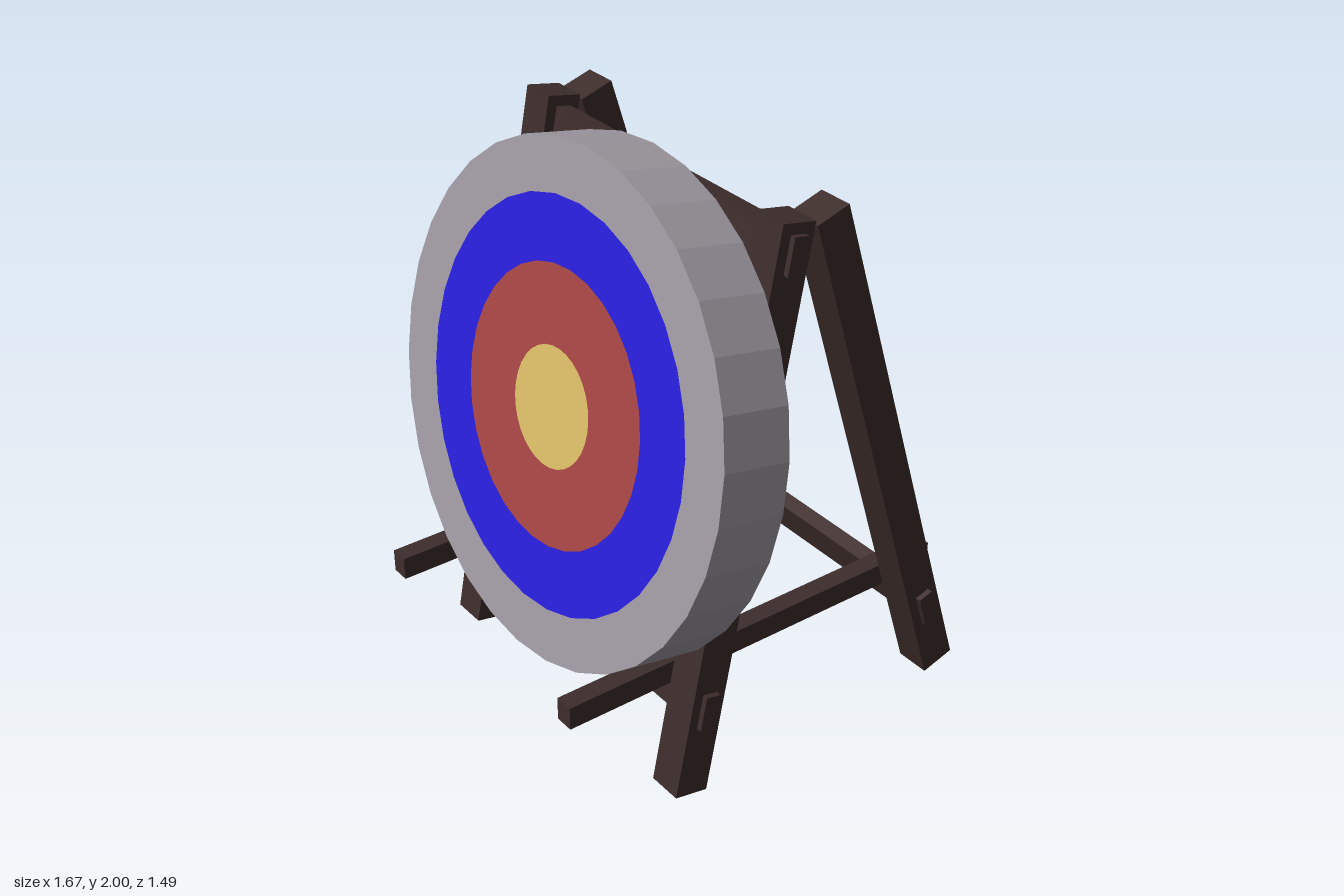
import * as THREE from 'three';

const SIDES = 32;
const FRONT_TILT = -0.193; // front frame and target lean back
const BACK_TILT = 0.298;   // rear legs lean forward
const LEG_X = { right: -0.62, left: 0.545 };
const FRAME_X = -0.0475;

const material = (color) => new THREE.MeshStandardMaterial({ color, flatShading: true });

export function createModel() {
  const model = new THREE.Group();
  const wood = material(0x3d2d2b);
  const straw = material(0xa09ba3);

  const add = (parent, name, geometry, mat, x, y, z, tilt = 0) => {
    const mesh = new THREE.Mesh(geometry, mat);
    mesh.name = name;
    mesh.position.set(x, y, z);
    mesh.rotation.x = tilt;
    parent.add(mesh);
    return mesh;
  };

  // Wooden stand: two A-frames with a horizontal rail inside each
  const stand = new THREE.Group();
  stand.name = 'stand';
  model.add(stand);
  const legGeometry = new THREE.BoxGeometry(0.122, 1.93, 0.122);
  const railGeometry = new THREE.BoxGeometry(0.066, 0.08, 1.465);
  for (const [side, x] of Object.entries(LEG_X)) {
    const inward = side === 'left' ? -1 : 1;
    add(stand, `${side} front leg`, legGeometry, wood, x, 0.963, 0.195, FRONT_TILT);
    add(stand, `${side} back leg`, legGeometry, wood, x, 0.975, -0.398, BACK_TILT);
    add(stand, `${side} side rail`, railGeometry, wood, x + inward * 0.094, 0.42, 0.017);
  }

  // Crossbars pass through the legs and stick out a little on both sides
  const barGeometry = new THREE.BoxGeometry(1.345, 0.122, 0.055);
  const bars = [
    ['top crossbar', 1.815, 0.026, FRONT_TILT],
    ['middle crossbar', 1.125, 0.165, FRONT_TILT],
    ['bottom crossbar', 0.325, 0.32, FRONT_TILT],
    ['back crossbar', 0.32, -0.6, BACK_TILT],
  ];
  for (const [name, y, z, tilt] of bars) add(stand, name, barGeometry, wood, FRAME_X, y, z, tilt);

  // Round target: rim, back and concentric face rings
  const radius = 0.833;
  const depth = 0.239;
  const target = new THREE.Group();
  target.name = 'target';
  target.position.set(0, 1.162, 0.348);
  target.rotation.x = FRONT_TILT;
  model.add(target);

  const rim = new THREE.CylinderGeometry(radius, radius, depth, SIDES, 1, true).rotateX(Math.PI / 2);
  add(target, 'target rim', rim, straw, 0, 0, 0);
  const back = new THREE.CircleGeometry(radius, SIDES).rotateY(Math.PI);
  add(target, 'target back', back, straw, 0, 0, -depth / 2);

  const rings = [
    ['outer ring', 0.66, radius, straw],
    ['blue ring', 0.45, 0.66, material(0x281edc)],
    ['red ring', 0.195, 0.45, material(0xa84444)],
  ];
  for (const [name, inner, outer, mat] of rings) {
    add(target, name, new THREE.RingGeometry(inner, outer, SIDES), mat, 0, 0, depth / 2);
  }
  add(target, 'bullseye', new THREE.CircleGeometry(0.195, SIDES), material(0xdcbc66), 0, 0, depth / 2);

  return model;
}
